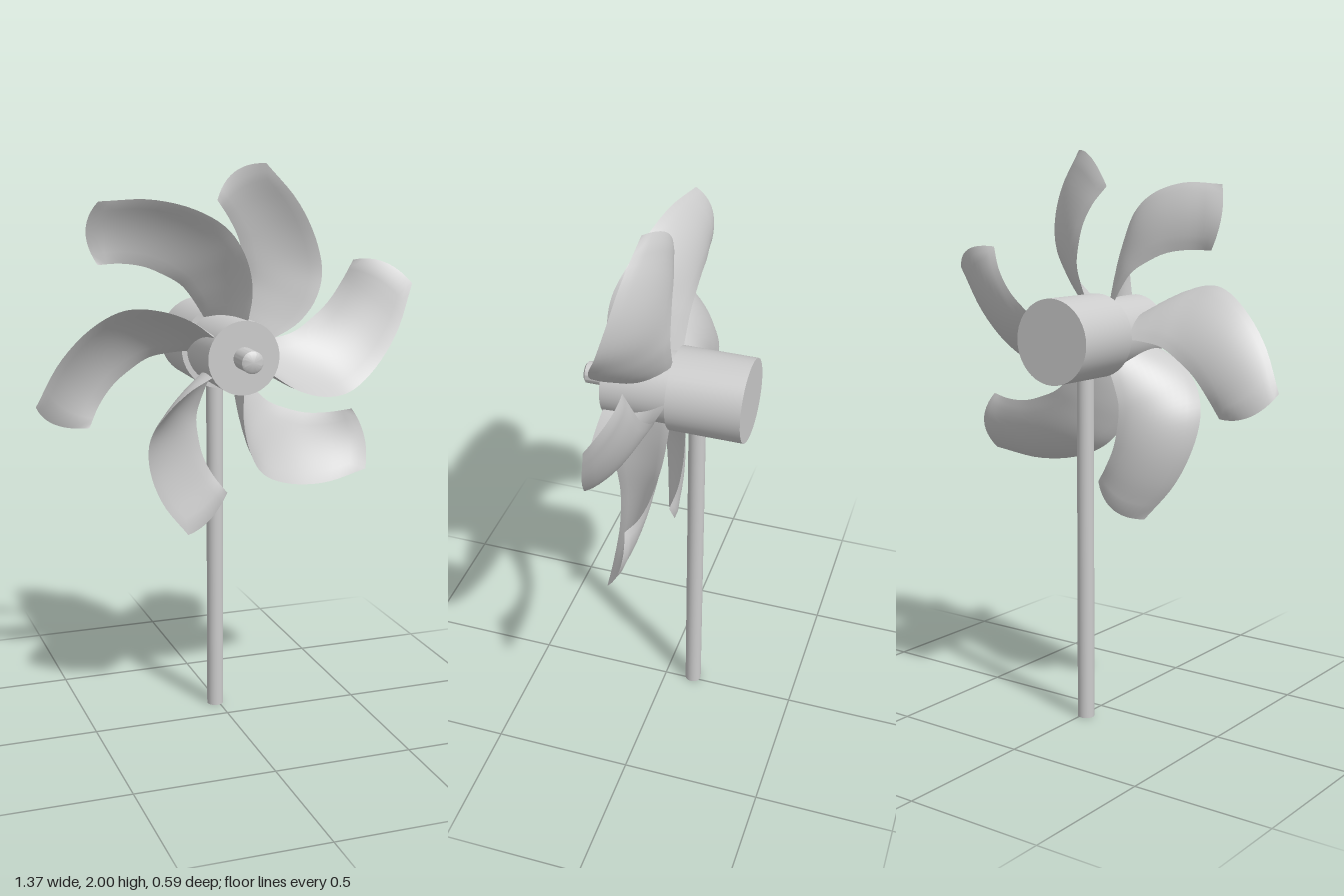
import * as THREE from 'three';
import { toCreasedNormals } from 'three/addons/utils/BufferGeometryUtils.js';

const material = new THREE.MeshStandardMaterial({ color: 0xcccccc, side: THREE.DoubleSide });
const AXIS = new THREE.Vector3(-0.01, 1.37, 0);
const HUB_R = 0.125;

// Blade edges from root to tip: [radius, degrees from the tip, z]
const OUTER_EDGE = [
  [0.115, -48, 0.195], [0.225, -48.5, 0.2], [0.328, -43.5, 0.185], [0.423, -36.5, 0.145],
  [0.503, -26, 0.11], [0.593, -13, 0.077], [0.688, 0, 0.04],
];
const INNER_EDGE = [
  [0.115, -10, -0.035], [0.19, -10, -0.037], [0.265, -8, -0.038], [0.34, -2, -0.038],
  [0.407, 3, -0.036], [0.476, 9, -0.03], [0.54, 14.5, -0.012],
];
// Each blade: [tip angle in degrees, length factor]
const BLADES = [[78, 0.93], [16.4, 1.065], [-41.4, 1.03], [-103, 0.965], [192.7, 1.015], [131, 1.0]];

function edgeCurve(points, angle, stretch) {
  return new THREE.CatmullRomCurve3(points.map(([r, deg, z]) => {
    const a = THREE.MathUtils.degToRad(deg + angle);
    const radius = HUB_R + (r - HUB_R) * stretch;
    return new THREE.Vector3(radius * Math.cos(a), radius * Math.sin(a), z);
  }));
}

// Thin scooped blade: a closed lens section swept between the two edges
function bladeGeometry(angle, stretch) {
  const outer = edgeCurve(OUTER_EDGE, angle, stretch);
  const inner = edgeCurve(INNER_EDGE, angle, stretch);
  const rows = 28, cols = 12, ring = cols * 2;
  const positions = [], index = [];
  for (let i = 0; i <= rows; i++) {
    const v = i / rows;
    const a = outer.getPoint(v);
    const chord = inner.getPoint(v).sub(a);
    const along = outer.getTangent(v).add(inner.getTangent(v)).normalize();
    const back = chord.clone().cross(along).normalize();
    const thickness = i === rows ? 0 : 0.009;
    for (let j = 0; j < ring; j++) {
      const side = j <= cols ? -1 : 1;
      const u = (j <= cols ? j : ring - j) / cols;
      const arch = 4 * u * (1 - u);
      const p = a.clone().addScaledVector(chord, u)
        .addScaledVector(back, 0.028 * arch + side * thickness * Math.sqrt(arch))
        .addScaledVector(along, 0.035 * arch * v ** 4); // rounded tip
      positions.push(p.x, p.y, p.z);
      if (i < rows) {
        const k = i * ring + j, n = i * ring + (j + 1) % ring;
        index.push(k, k + ring, n, n, k + ring, n + ring);
      }
    }
  }
  const geometry = new THREE.BufferGeometry();
  geometry.setAttribute('position', new THREE.Float32BufferAttribute(positions, 3));
  geometry.setIndex(index);
  return toCreasedNormals(geometry, 1);
}

// Solid of revolution about the z axis, profile given as [radius, z]
function turned(name, profile) {
  const points = profile.map(([r, z]) => new THREE.Vector2(r, z));
  const geometry = new THREE.LatheGeometry(points, 40).rotateX(Math.PI / 2);
  const mesh = new THREE.Mesh(toCreasedNormals(geometry, 0.6), material);
  mesh.name = name;
  return mesh;
}

export function createModel() {
  const model = new THREE.Group();
  model.name = 'windTurbine';

  // Pole
  const pole = new THREE.Mesh(new THREE.CylinderGeometry(0.03, 0.03, 1.26, 24), material);
  pole.name = 'pole';
  pole.position.set(-0.012, 0.63, -0.108);
  model.add(pole);

  // Housing behind the rotor
  const housing = turned('housing', [[0, -0.295], [0.146, -0.295], [0.146, -0.035], [0, -0.035]]);
  housing.position.copy(AXIS);
  model.add(housing);

  // Rotor: flat-faced hub, shaft and curved blades
  const rotor = new THREE.Group();
  rotor.name = 'rotor';
  rotor.position.copy(AXIS);
  rotor.add(turned('hub', [[0, -0.04], [0.127, -0.04], [0.127, 0.2], [0, 0.2]]));
  rotor.add(turned('shaft', [[0, 0.15], [0.038, 0.15], [0.038, 0.285], [0.03, 0.291], [0, 0.295]]));
  for (const [angle, stretch] of BLADES) {
    const blade = new THREE.Mesh(bladeGeometry(angle, stretch), material);
    blade.name = 'blade';
    rotor.add(blade);
  }
  model.add(rotor);
  return model;
}
